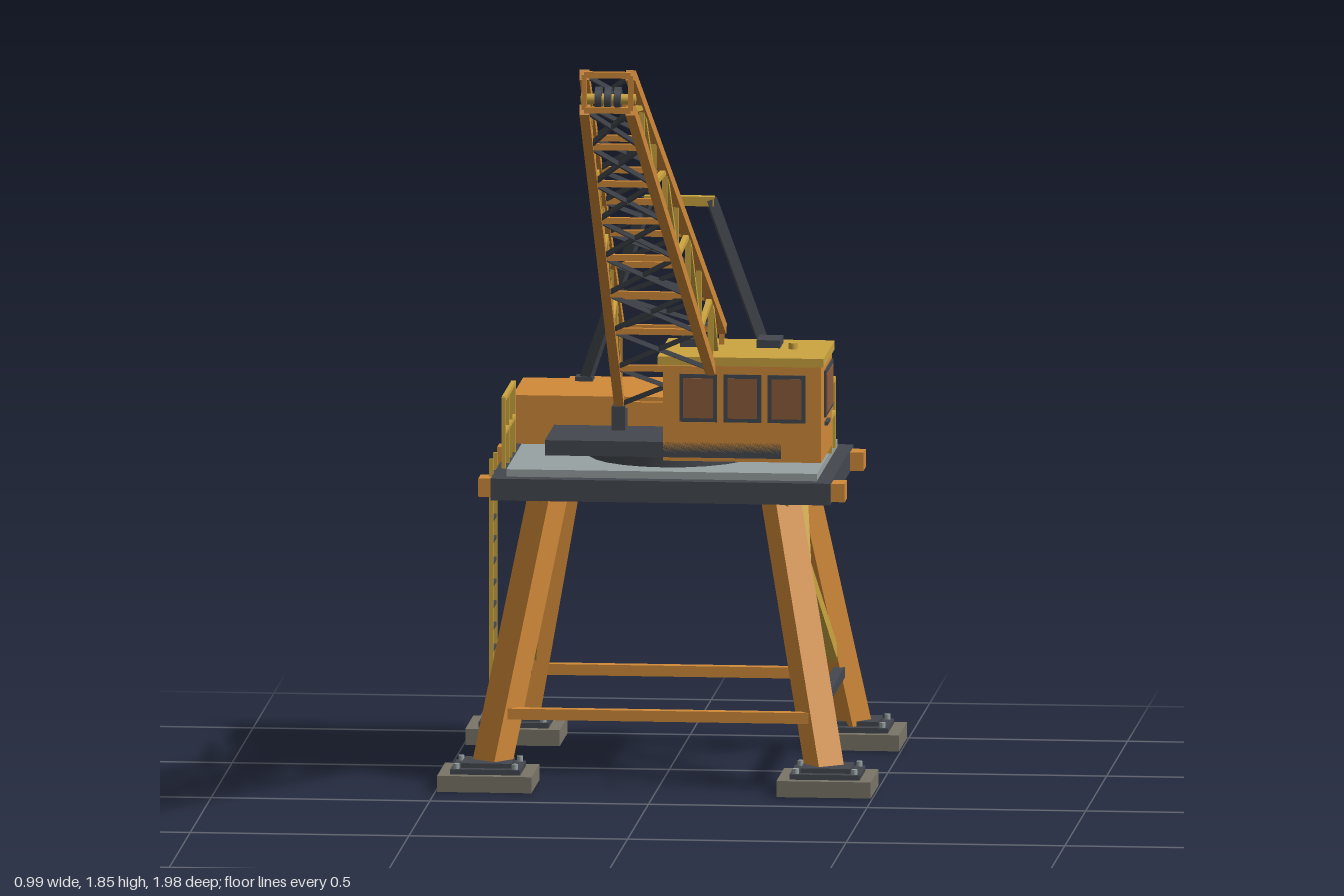
import * as THREE from 'three';

const flat = (name, color) => {
  const m = new THREE.MeshStandardMaterial({ color });
  m.name = name;
  return m;
};

export function createModel() {
  const orange = flat('orange paint', 0xd18a38);
  const yellow = flat('yellow paint', 0xcca540);
  const dark = flat('dark steel', 0x44484f);
  const grey = flat('deck grey', 0x98a2a2);
  const concrete = flat('concrete', 0x7a7568);
  const glass = flat('brown glass', 0x8c5c3c);

  const model = new THREE.Group();
  model.name = 'portalCrane';
  const group = (name) => {
    const g = new THREE.Group();
    g.name = name;
    model.add(g);
    return g;
  };
  const add = (parent, name, geo, mat, x = 0, y = 0, z = 0) => {
    const m = new THREE.Mesh(geo, mat);
    m.name = name;
    m.position.set(x, y, z);
    parent.add(m);
    return m;
  };
  // box given by its minimum and maximum on each axis
  const block = (parent, name, mat, x0, x1, y0, y1, z0, z1) =>
    add(parent, name, new THREE.BoxGeometry(x1 - x0, y1 - y0, z1 - z0), mat,
      (x0 + x1) / 2, (y0 + y1) / 2, (z0 + z1) / 2);
  // square bar between two points
  const bar = (parent, name, mat, a, b, w, h = w) => {
    const p = new THREE.Vector3(...a), q = new THREE.Vector3(...b);
    const m = add(parent, name, new THREE.BoxGeometry(w, h, p.distanceTo(q)), mat);
    m.position.copy(p).add(q).multiplyScalar(0.5);
    m.lookAt(q);
    return m;
  };
  const rod = (parent, name, mat, r, len, x, y, z, axis = 'y') => {
    const m = add(parent, name, new THREE.CylinderGeometry(r, r, len, 24), mat, x, y, z);
    if (axis === 'x') m.rotation.z = Math.PI / 2;
    return m;
  };

  const CZ = -0.5625; // centre of the portal

  // footings and legs
  const portal = group('portal');
  for (const sx of [-1, 1]) for (const sz of [-1, 1]) {
    const fx = sx * 0.388, fz = CZ + sz * 0.338;
    block(portal, 'footing', concrete, fx - 0.108, fx + 0.108, 0, 0.037, fz - 0.095, fz + 0.095);
    block(portal, 'basePlate', dark, fx - 0.08, fx + 0.08, 0.037, 0.049, fz - 0.072, fz + 0.072);
    block(portal, 'legShoe', dark, fx - 0.057, fx + 0.057, 0.049, 0.06, fz - 0.05, fz + 0.05);
    for (const bx of [-1, 1]) for (const bz of [-1, 1])
      rod(portal, 'anchorBolt', grey, 0.007, 0.014, fx + bx * 0.067, 0.054, fz + bz * 0.06);
    bar(portal, 'leg', orange, [sx * 0.38, 0.05, CZ + sz * 0.325],
      [sx * 0.262, 0.67, CZ + sz * 0.178], 0.068, 0.06);
    const kz = CZ + sz * 0.225;
    block(portal, 'cornerBlock', orange, sx * 0.398 - 0.021, sx * 0.398 + 0.021, 0.653, 0.695, kz - 0.028, kz + 0.028);
  }

  // bracing between legs
  for (const s of [-1, 1]) {
    const z = CZ + s * 0.322;
    bar(portal, 'crossTie', orange, [-0.345, 0.166, z], [0.345, 0.166, z], 0.025);
    bar(portal, 'sideTie', dark, [s * 0.358, 0.178, CZ - 0.295], [s * 0.358, 0.178, CZ + 0.295], 0.025);
    for (const d of [-1, 1])
      bar(portal, 'diagonalBrace', yellow, [s * 0.35, 0.19, CZ + d * 0.285],
        [s * 0.275, 0.655, CZ - d * 0.215], 0.022, 0.026);
  }

  // deck and slewing ring
  const deck = group('deck');
  block(deck, 'deckFrame', dark, -0.388, 0.388, 0.65, 0.7, CZ - 0.283, CZ + 0.283);
  block(deck, 'deckPlate', grey, -0.355, 0.355, 0.7, 0.717, CZ - 0.25, CZ + 0.25);
  rod(deck, 'slewingRing', dark, 0.19, 0.032, 0, 0.732, CZ);
  block(deck, 'turntable', dark, -0.27, 0.27, 0.745, 0.78, -0.76, -0.345);

  // access ladder
  const ladder = group('ladder');
  for (const z of [-0.347, -0.44]) block(ladder, 'ladderRail', yellow, -0.397, -0.388, 0.16, 0.735, z - 0.005, z + 0.005);
  for (let i = 0; i < 11; i++)
    block(ladder, 'ladderRung', dark, -0.396, -0.389, 0.187 + i * 0.05, 0.195 + i * 0.05, -0.44, -0.347);

  // guard rails
  const rails = group('guardRails');
  const guard = (x, z0, z1, n) => {
    for (const y of [0.8, 0.877]) block(rails, 'handRail', yellow, x - 0.005, x + 0.005, y - 0.005, y + 0.005, z0, z1);
    for (let i = 0; i <= n; i++) {
      const z = z0 + (z1 - z0) * i / n;
      block(rails, 'railPost', yellow, x - 0.005, x + 0.005, 0.717, 0.88, z - 0.005, z + 0.005);
    }
  };
  guard(-0.362, -0.56, -0.325, 3);
  guard(0.357, -0.69, -0.61, 1);

  // machinery house with counterweight and louvres
  const house = group('machineryHouse');
  block(house, 'houseBody', orange, -0.365, 0.253, 0.735, 0.847, -0.82, -0.567);
  block(house, 'counterweight', orange, -0.26, 0.253, 0.735, 0.847, -0.853, -0.82);
  for (const [x, s] of [[-0.365, -1], [0.253, 1]]) {
    block(house, 'ventPanel', dark, x - 0.004, x + 0.004, 0.77, 0.828, -0.77, -0.64);
    for (let i = 0; i < 4; i++)
      block(house, 'ventSlat', yellow, x + s * 0.005 - 0.004, x + s * 0.005 + 0.004,
        0.776 + i * 0.014, 0.781 + i * 0.014, -0.765, -0.645);
  }

  // A-frame
  const frame = group('aFrame');
  for (const s of [-1, 1]) {
    bar(frame, 'frameLeg', dark, [s * 0.222, 0.84, -0.797], [s * 0.072, 1.278, -0.743], 0.024);
    block(frame, 'frameFoot', dark, s * 0.222 - 0.02, s * 0.222 + 0.02, 0.847, 0.857, -0.817, -0.777);
  }
  bar(frame, 'frameCrossbar', yellow, [-0.08, 1.273, -0.743], [0.08, 1.273, -0.743], 0.022);

  // operator cab
  const cab = group('cab');
  block(cab, 'cabBody', orange, 0, 0.362, 0.737, 0.958, -0.6, -0.345);
  block(cab, 'cabRoof', yellow, -0.012, 0.368, 0.958, 0.978, -0.606, -0.338);
  for (const x of [0.053, 0.228]) block(cab, 'roofHatch', dark, x - 0.027, x + 0.027, 0.978, 0.996, -0.56, -0.482);
  rod(cab, 'roofLamp', yellow, 0.011, 0.014, 0.285, 0.985, -0.48);
  for (const x of [0.081, 0.182, 0.283]) for (const [z, s] of [[-0.345, 1], [-0.6, -1]]) {
    const y0 = s > 0 ? 0.828 : 0.858;
    block(cab, 'windowFrame', dark, x - 0.043, x + 0.043, y0, 0.938, z - 0.004, z + 0.004);
    block(cab, 'windowPane', glass, x - 0.034, x + 0.034, y0 + 0.009, 0.929, z + s * 0.002 - 0.004, z + s * 0.002 + 0.004);
  }
  for (const [x, s] of [[0, -1], [0.362, 1]]) {
    block(cab, 'sideWindowFrame', dark, x - 0.004, x + 0.004, 0.83, 0.938, -0.592, -0.418);
    block(cab, 'sideWindowPane', glass, x + s * 0.002 - 0.004, x + s * 0.002 + 0.004, 0.84, 0.928, -0.582, -0.428);
  }
  block(cab, 'doorHandle', dark, 0.362, 0.37, 0.812, 0.82, -0.48, -0.42);

  // lattice boom, tapering from root (t = 0) to tip (t = 1)
  const boom = group('boom');
  const node = (side, top, i) => {
    const t = i / 8;
    return [side * (0.117 - 0.064 * t),
      top ? 1.013 + 0.826 * t : 0.835 + 0.923 * t,
      -0.53 + 1.508 * t];
  };
  for (const s of [-1, 1]) {
    for (const top of [0, 1]) bar(boom, 'chord', orange, node(s, top, 0), node(s, top, 8), 0.022, 0.025);
    for (let i = 0; i <= 8; i++) {
      const end = i === 0 || i === 8;
      bar(boom, 'post', end ? orange : yellow, node(s, 0, i), node(s, 1, i), 0.012);
      if (i < 8) bar(boom, 'sideLacing', yellow, node(s, i % 2, i), node(s, (i + 1) % 2, i + 1), 0.012);
    }
  }
  for (const top of [0, 1]) for (let i = 0; i <= 8; i++) {
    bar(boom, 'rung', orange, node(-1, top, i), node(1, top, i), 0.014);
    if (i < 8) for (const s of [-1, 1])
      bar(boom, 'crossLacing', dark, node(s, top, i), node(-s, top, i + 1), 0.01);
  }
  for (const s of [-1, 1]) // brackets tying the root to the turntable
    block(boom, 'rootBracket', dark, s * 0.117 - 0.015, s * 0.117 + 0.015, 0.775, 0.835, -0.56, -0.5);

  // tip sheaves
  for (const x of [-0.022, 0, 0.022]) rod(boom, 'sheave', dark, 0.028, 0.015, x, 1.78, 0.955, 'x');
  rod(boom, 'sheaveAxle', yellow, 0.012, 0.125, 0, 1.78, 0.955, 'x');

  return model;
}
